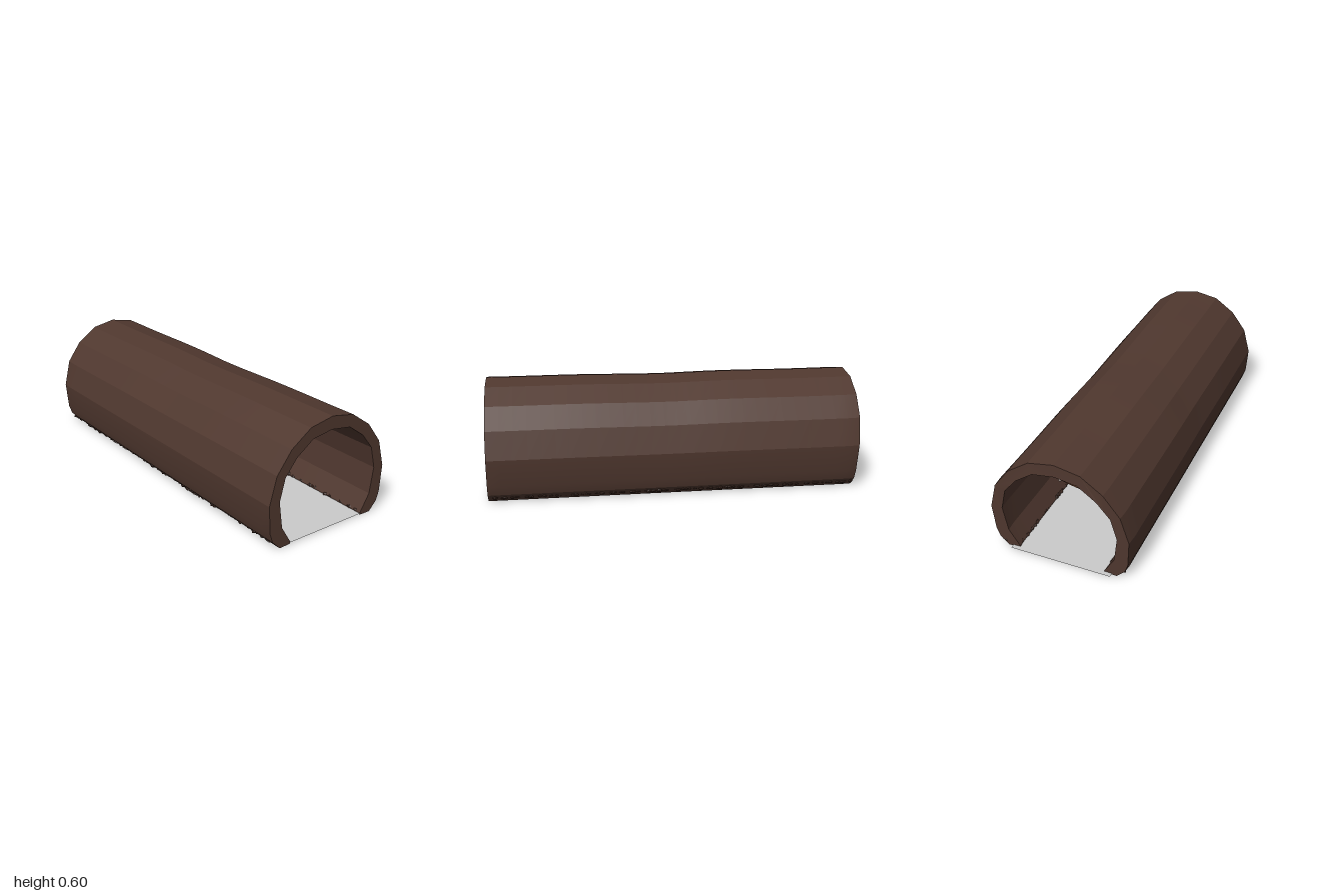
import * as THREE from 'three';
import { mergeGeometries, toCreasedNormals } from 'three/addons/utils/BufferGeometryUtils.js';

const mat = (color, extra = {}) => new THREE.MeshStandardMaterial({ color, ...extra });
const V = (x, y, z) => new THREE.Vector3(x, y, z);

function seeded(seed) {
  return () => (seed = (seed * 16807) % 2147483647) / 2147483647;
}

function pipe(points, radius, sides = 8, segments = 28) {
  const curve = new THREE.CatmullRomCurve3(points.map(p => V(...p)));
  return new THREE.TubeGeometry(curve, segments, radius, sides, false);
}

export function createModel() {
  const group = new THREE.Group();
  const earth = mat(0x50382f);
  const rust = mat(0x6e432c, { side: THREE.DoubleSide });
  const steel = mat(0xcccccc, { side: THREE.DoubleSide });
  const add = (name, geometry, material) => {
    const mesh = new THREE.Mesh(geometry, material);
    mesh.name = name;
    group.add(mesh);
    return mesh;
  };

  // Tunnel shell: faceted horseshoe, open at the floor, swept along z
  const outer = [[0.30, 0.004], [0.345, 0.05], [0.362, 0.10], [0.372, 0.245], [0.332, 0.39], [0.248, 0.50], [0.135, 0.578]];
  const inner = [[0.235, 0.006], [0.235, 0.018], [0.29, 0.11], [0.31, 0.25], [0.28, 0.367], [0.213, 0.45], [0.118, 0.517]];
  const mirror = list => list.map(([x, y]) => [-x, y]).reverse();
  const outline = [...outer, [0, 0.603], ...mirror(outer), ...mirror(mirror(mirror(inner))).reverse(), [0, 0.535], ...inner.slice().reverse()];
  const shape = new THREE.Shape(outline.map(p => new THREE.Vector2(...p)));
  const shell = new THREE.ExtrudeGeometry(shape, { depth: 2, steps: 28, bevelEnabled: false });
  shell.translate(0, 0, -1);
  const pos = shell.attributes.position;
  for (let i = 0; i < pos.count; i++) {
    let x = pos.getX(i), y = pos.getY(i), z = pos.getZ(i);
    const swell = 1 - 0.006 * (1 + Math.sin(z * 6.5 + 0.8)) * Math.min(1, y * 3) * (1 - Math.abs(z));
    // The back rim is slightly worn in at its sides
    if (z < -0.99) {
      z += 0.025 * Math.max(0, 1 - y / 0.45);
      x *= 0.985;
    }
    pos.setXYZ(i, x * swell, y * swell, z);
  }
  add('tunnelShell', toCreasedNormals(shell, 0.3), earth);

  // Flat floor
  const floor = new THREE.PlaneGeometry(0.54, 2);
  floor.rotateX(-Math.PI / 2);
  floor.translate(0, 0.012, 0);
  add('floor', floor, steel);

  // Broken earth along the feet of both walls
  const rand = seeded(71);
  const lumps = [];
  for (const side of [-1, 1]) {
    for (let i = 0; i < 75; i++) {
      for (const [cx, spread] of [[0.248, 0.012], [0.315, 0.012]]) {
        const lump = new THREE.IcosahedronGeometry(1, 0);
        lump.scale(0.012 + rand() * 0.006, 0.008 + rand() * 0.007, 0.014 + rand() * 0.008);
        lump.rotateY(rand() * 6);
        const z = -0.97 + 1.945 * (i + rand() * 0.8) / 75;
        lump.translate(side * (cx + (rand() - 0.5) * spread), 0.016 + (cx > 0.3 ? 0.012 : 0) + rand() * 0.003, z);
        lumps.push(lump);
      }
    }
  }
  add('footRubble', mergeGeometries(lumps), earth).material = mat(0x412b23, { flatShading: true });

  // Rusty pipes sagging and crossing under the roof
  const roofPipes = [
    pipe([[-0.25, 0.435, 0.50], [-0.16, 0.425, 0.48], [-0.03, 0.432, 0.44], [0.08, 0.465, 0.4], [0.17, 0.52, 0.36]], 0.022),
    pipe([[-0.26, 0.425, -0.92], [-0.13, 0.418, -0.88], [0.03, 0.435, -0.86], [0.12, 0.475, -0.85], [0.17, 0.52, -0.84]], 0.022),
    pipe([[-0.19, 0.51, 0.1], [-0.1, 0.465, 0.05], [0.04, 0.43, -0.02], [0.26, 0.42, -0.1]], 0.014),
    pipe([[-0.15, 0.525, 0.05], [-0.05, 0.475, 0], [0.08, 0.445, -0.07], [0.27, 0.44, -0.15]], 0.014),
    pipe([[-0.08, 0.54, -0.3], [0.05, 0.505, -0.34], [0.15, 0.475, -0.38], [0.25, 0.455, -0.42]], 0.010),
    pipe([[-0.25, 0.45, -0.35], [-0.1, 0.44, -0.42], [0.06, 0.475, -0.5], [0.16, 0.525, -0.55]], 0.014),
    pipe([[-0.26, 0.43, -0.55], [0, 0.425, -0.6], [0.27, 0.425, -0.65]], 0.014),
  ];
  add('roofPipes', mergeGeometries(roofPipes), rust);

  // Two hanging chains made of alternating links
  const links = [];
  for (const x of [-0.092, -0.058]) {
    const curve = new THREE.CatmullRomCurve3([V(x, 0.535, 0.3), V(x + 0.01, 0.47, 0.3),
      V(x + 0.03, 0.447, 0.3), V(x + 0.052, 0.47, 0.3), V(x + 0.068, 0.545, 0.3)]);
    const count = 22;
    for (let i = 0; i <= count; i++) {
      const link = new THREE.TorusGeometry(0.006, 0.0018, 5, 10);
      link.scale(1.3, 0.8, 1);
      if (i % 2) link.rotateX(Math.PI / 2);
      const t = curve.getTangentAt(i / count), p = curve.getPointAt(i / count);
      link.rotateZ(Math.atan2(t.y, t.x));
      link.translate(p.x, p.y, p.z + (x > -0.07 ? 0.02 : 0));
      links.push(link);
    }
  }
  add('hangingChains', mergeGeometries(links), mat(0x8c8c8c));

  // Rails running along one wall
  const rails = [0.145, 0.18, 0.217].map(y => {
    const rail = new THREE.CylinderGeometry(0.009, 0.009, 1.9, 8);
    rail.rotateX(Math.PI / 2);
    rail.translate(-0.297 - (y - 0.145) * 0.08, y, 0.01);
    return rail;
  });
  add('wallRails', mergeGeometries(rails), steel);

  // Slanted clamps holding the rails
  const clamps = [];
  for (const z of [0.8, 0.27, -0.27, -0.8]) {
    for (const [x, y, w, h] of [[0.012, 0, 0.008, 0.134], [0, 0.063, 0.03, 0.009], [0, -0.063, 0.03, 0.009]]) {
      const bar = new THREE.BoxGeometry(w, h, 0.028);
      bar.translate(x, y, 0);
      bar.rotateZ(0.12);
      bar.translate(-0.293, 0.178, z);
      clamps.push(bar);
    }
  }
  add('railClamps', mergeGeometries(clamps), steel);

  // Thick bent pipe bulging out of the opposite wall
  const bend = [[0.325, 0.235, -0.30], [0.275, 0.226, -0.29], [0.225, 0.185, -0.27], [0.206, 0.125, -0.25], [0.225, 0.07, -0.23], [0.285, 0.025, -0.21]];
  const bentPipe = pipe(bend, 0.026, 8, 16);
  add('bentWallPipe', bentPipe, mat(0x9a9a96, { side: THREE.DoubleSide }));

  // Thinner bent pipes behind it
  const thin = [0, 0.022].map(d => pipe([[0.32, 0.21 - d, -0.5], [0.28, 0.19 - d, -0.5],
    [0.248, 0.15 - d, -0.49], [0.245, 0.11 - d, -0.48], [0.285, 0.06 - d, -0.47]], 0.008));
  add('thinWallPipes', mergeGeometries(thin), mat(0xb8a8a0, { side: THREE.DoubleSide }));

  return group;
}
